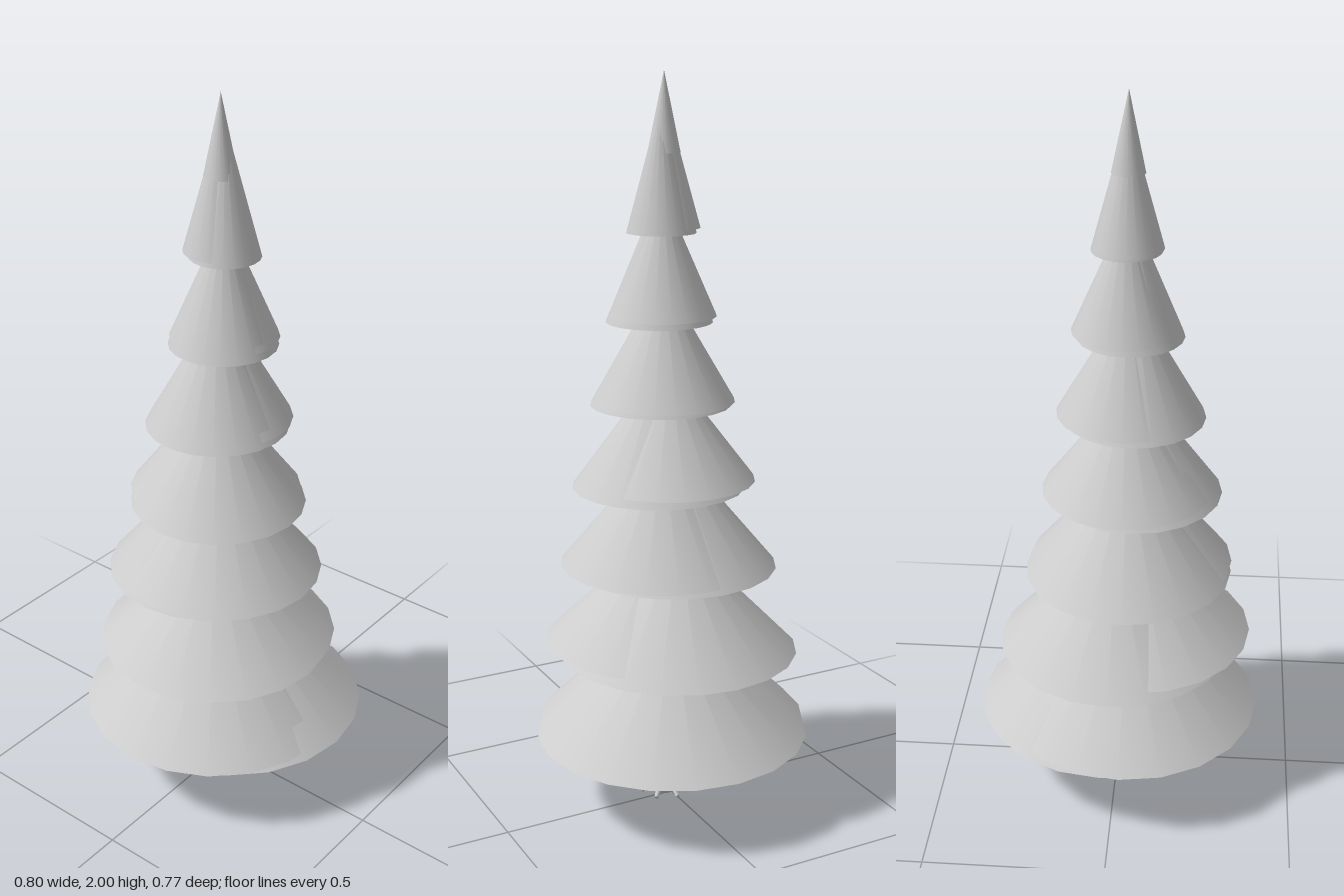
import * as THREE from 'three';

const CX = -0.025, CZ = 0.01; // trunk axis

export function createModel() {
  const tree = new THREE.Group();
  tree.name = 'firTree';
  const grey = new THREE.MeshStandardMaterial({ color: 0xcccccc });
  grey.name = 'plain grey';

  const add = (parent, name, geometry, x, y, z) => {
    const mesh = new THREE.Mesh(geometry, grey);
    mesh.name = name;
    mesh.position.set(x, y, z);
    parent.add(mesh);
    return mesh;
  };

  // Branch tiers: overlapping, slightly shifted cones [x, z, base y, radius, apex y]
  const tiers = [
    [[0.022, 0.01, 0.215, 0.375, 0.56], [-0.028, -0.014, 0.23, 0.372, 0.59]],
    [[0.003, -0.02, 0.445, 0.328, 0.78], [-0.05, 0.008, 0.467, 0.322, 0.77]],
    [[-0.03, -0.022, 0.68, 0.283, 1.02], [-0.034, 0.01, 0.693, 0.28, 1.03]],
    [[-0.046, 0.015, 0.907, 0.235, 1.23], [-0.025, -0.01, 0.928, 0.23, 1.23]],
    [[-0.042, 0.01, 1.135, 0.19, 1.47], [-0.023, 0.008, 1.148, 0.188, 1.47]],
    [[-0.03, 0.02, 1.36, 0.142, 1.7], [-0.019, 0.015, 1.377, 0.142, 1.7]],
    [[-0.021, 0.018, 1.593, 0.092, 1.93], [-0.026, 0.003, 1.605, 0.091, 1.93]],
    [[CX, 0.008, 1.795, 0.043, 2.0]],
  ];
  tiers.forEach((cones, i) => {
    const tier = new THREE.Group();
    tier.name = `branchTier${i + 1}`;
    tree.add(tier);
    for (const [x, z, base, radius, apex] of cones) {
      const h = apex - base;
      add(tier, 'branchCone', new THREE.ConeGeometry(radius, h, 20, 1), x, base + h / 2, z);
    }
  });

  // Trunk, flared at the foot and hidden inside the tiers above
  const profile = [[0, 0.008], [0.037, 0.008], [0.036, 0.04], [0.032, 0.07], [0.027, 0.21], [0.022, 0.5], [0, 0.5]]
    .map(([r, y]) => new THREE.Vector2(r, y));
  add(tree, 'trunk', new THREE.LatheGeometry(profile, 14), CX, 0, CZ);

  // Roots: tapered cylinders bent along a curve
  const rootCurve = new THREE.QuadraticBezierCurve(
    new THREE.Vector2(0.02, 0.085), new THREE.Vector2(0.036, 0.03), new THREE.Vector2(0.07, 0.01));
  const rootGeometry = new THREE.CylinderGeometry(0.006, 0.012, 1, 8, 5);
  const pos = rootGeometry.attributes.position;
  for (let i = 0; i < pos.count; i++) {
    const t = THREE.MathUtils.clamp(pos.getY(i) + 0.5, 0, 1);
    const p = rootCurve.getPoint(t), d = rootCurve.getTangent(t);
    const side = pos.getX(i);
    pos.setXYZ(i, p.x + d.y * side, Math.max(0, p.y - d.x * side), pos.getZ(i));
  }
  rootGeometry.computeVertexNormals();
  for (let i = 0; i < 7; i++) {
    add(tree, 'root', rootGeometry, CX, 0, CZ).rotation.y = (i / 7) * Math.PI * 2 + 0.1;
  }
  return tree;
}
